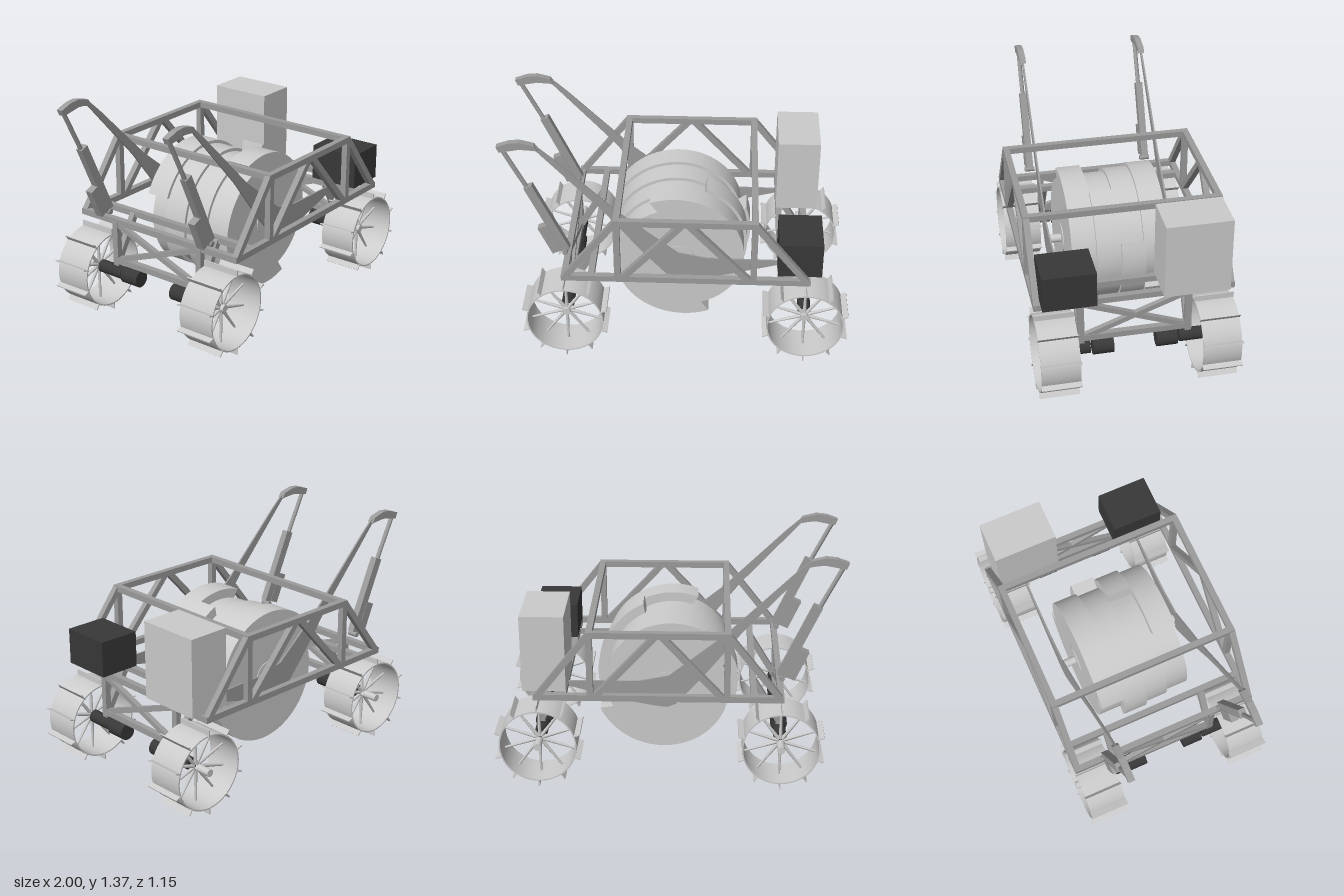
import * as THREE from 'three';
import { toCreasedNormals } from 'three/addons/utils/BufferGeometryUtils.js';

const grey = new THREE.MeshStandardMaterial({ color: 0xcccccc });
const steel = new THREE.MeshStandardMaterial({ color: 0x9c9c9c });
const black = new THREE.MeshStandardMaterial({ color: 0x383838 });
const V = (x, y, z) => new THREE.Vector3(x, y, z);
const UP = V(0, 1, 0);

export function createModel() {
  const model = new THREE.Group();
  model.name = 'excavatorRover';

  const add = (parent, name, geo, mat, x = 0, y = 0, z = 0) => {
    const m = new THREE.Mesh(geo, mat);
    m.name = name;
    m.position.set(x, y, z);
    parent.add(m);
    return m;
  };
  // Lay a y-aligned geometry of the right length between two points
  const span = (parent, name, makeGeo, mat, a, b) => {
    const d = b.clone().sub(a);
    const m = add(parent, name, makeGeo(d.length()), mat);
    m.position.copy(a).add(b).multiplyScalar(0.5);
    m.quaternion.setFromUnitVectors(UP, d.normalize());
    return m;
  };
  const beam = (parent, name, a, b, w = 0.036, t = w) =>
    span(parent, name, l => new THREE.BoxGeometry(w, l, t), steel, a, b);
  const rod = (parent, name, a, b, r0, mat, r1 = r0, n = 24) =>
    span(parent, name, l => new THREE.CylinderGeometry(r1, r0, l, n), mat, a, b);

  // Truss frame: two mirrored sides joined by cross beams
  const frame = new THREE.Group();
  frame.name = 'frame';
  model.add(frame);
  const lo = 0.578, hi = 0.963;
  for (const z of [-0.556, 0.556]) {
    beam(frame, 'lowerRail', V(-0.658, lo, z), V(0.765, lo, z));
    beam(frame, 'upperRail', V(-0.352, hi, z), V(0.458, hi, z));
    for (const x of [-0.334, 0.44]) beam(frame, 'post', V(x, lo, z), V(x, hi, z));
    beam(frame, 'endBrace', V(-0.64, lo, z), V(-0.34, hi, z));
    beam(frame, 'endBrace', V(0.745, lo, z), V(0.445, hi, z));
    beam(frame, 'innerBrace', V(-0.31, lo, z), V(0.04, hi, z));
    beam(frame, 'innerBrace', V(0.415, lo, z), V(0.065, hi, z));
  }
  for (const [x, y] of [[-0.64, lo], [-0.487, lo], [0.597, lo], [0.747, lo], [-0.334, hi], [0.44, hi]])
    beam(frame, 'crossBeam', V(x, y, -0.556), V(x, y, 0.556));

  // Leg frames carrying the wheel motors, with X bracing
  for (const [x, top] of [[-0.645, -0.49], [0.75, 0.6]]) {
    const legs = new THREE.Group();
    legs.name = 'legFrame';
    model.add(legs);
    for (const s of [-1, 1]) {
      beam(legs, 'leg', V(x, 0.3, s * 0.31), V(x, lo, s * 0.31));
      beam(legs, 'legBrace', V(x, 0.32, s * 0.31), V(top, lo, s * 0.31));
      beam(legs, 'crossBrace', V(x, 0.34, -s * 0.29), V(x, 0.56, s * 0.29), 0.03);
    }
    beam(legs, 'lowerBeam', V(x, 0.333, -0.33), V(x, 0.333, 0.33));
  }

  // Wheels: open rim, ten tapered spokes and ten grousers
  const R = 0.225, w = 0.112;
  const rimGeo = toCreasedNormals(new THREE.LatheGeometry(
    [[R - 0.008, -w], [R, -w], [R, w], [R - 0.008, w], [R - 0.008, -w]].map(p => new THREE.Vector2(...p)), 64), 0.5);
  for (const x of [-0.65, 0.75]) for (const s of [-1, 1]) {
    const wheel = new THREE.Group();
    wheel.name = 'wheel';
    wheel.position.set(x, 0.26, s * 0.46);
    model.add(wheel);
    add(wheel, 'rim', rimGeo, grey).rotation.x = Math.PI / 2;
    rod(wheel, 'hub', V(0, 0, -0.12), V(0, 0, 0.03 * s), 0.022, grey);
    for (let i = 0; i < 10; i++) {
      const a = -Math.PI / 2 + i * Math.PI / 5, c = Math.cos(a), q = Math.sin(a);
      rod(wheel, 'spoke', V(c * 0.015, q * 0.015, 0), V(c * 0.22, q * 0.22, 0), 0.011, grey, 0.006, 10);
      beam(wheel, 'grouser', V(c * 0.217, q * 0.217, 0), V(c * 0.259, q * 0.259, 0), 0.007, 0.23).material = grey;
    }
    rod(model, 'motorNeck', V(x, 0.26, s * 0.23), V(x, 0.26, s * 0.46), 0.038, black).scale.y = 0.75;
    rod(model, 'wheelMotor', V(x, 0.26, s * 0.125), V(x, 0.26, s * 0.245), 0.05, black);
  }

  // Bucket drum: four spiral sections, each turned a further 45 degrees
  const drum = new THREE.Group();
  drum.name = 'bucketDrum';
  drum.position.set(0.01, 0.522, 0);
  model.add(drum);
  const pts = [], N = 48;
  for (let k = 0; k < 2; k++) for (let i = 0; i <= N; i++) {
    const f = i / N, a = k * Math.PI + f * Math.PI - (i === 0 ? 0.04 : 0);
    const r = 0.35 + 0.075 * f;
    pts.push(new THREE.Vector2(r * Math.cos(a), r * Math.sin(a)));
  }
  const sectionGeo = toCreasedNormals(
    new THREE.ExtrudeGeometry(new THREE.Shape(pts), { depth: 0.143, bevelEnabled: false }), 0.4);
  for (let i = 0; i < 4; i++)
    add(drum, 'drumSection', sectionGeo, grey, 0, 0, 0.143 - i * 0.143)
      .rotation.z = THREE.MathUtils.degToRad(-66 - 45 * i);
  rod(drum, 'axle', V(0, 0, -0.378), V(0, 0, 0.378), 0.025, grey);
  rod(drum, 'hubFlange', V(0, 0, -0.291), V(0, 0, 0.291), 0.09, grey, 0.09, 40);

  // Side plates that carry the drum, with hooked tips and linear actuators
  const armPts = [[-0.95, 1.345], [-0.87, 1.365], [-0.79, 1.345], [-0.69, 1.255], [-0.32, 0.89], [0, 0.63],
    [0.17, 0.595], [0.6, 0.59], [0.6, 0.565], [0.2, 0.46], [0.06, 0.435], [0.01, 0.43], [-0.04, 0.45],
    [-0.2, 0.63], [-0.42, 0.91], [-0.78, 1.305], [-0.87, 1.322], [-0.95, 1.315]];
  const tipPts = [[-1, 1.335], [-0.93, 1.36], [-0.87, 1.366], [-0.79, 1.346], [-0.77, 1.315],
    [-0.87, 1.322], [-0.985, 1.3]];
  const plate = (p, depth) => new THREE.ExtrudeGeometry(
    new THREE.Shape(p.map(q => new THREE.Vector2(...q))), { depth, bevelEnabled: false }).translate(0, 0, -depth / 2);
  for (const z of [-0.375, 0.375]) {
    const arm = new THREE.Group();
    arm.name = 'drumArm';
    arm.position.z = z;
    model.add(arm);
    add(arm, 'armPlate', plate(armPts, 0.01), steel);
    add(arm, 'armTip', plate(tipPts, 0.038), steel);
    rod(arm, 'actuatorRod', V(-0.975, 1.32, 0), V(-0.83, 1.03, 0), 0.013, steel);
    beam(arm, 'actuatorBarrel', V(-0.84, 1.075, 0), V(-0.645, 0.645, 0), 0.052, 0.042);
    beam(arm, 'actuatorMotor', V(-0.772, 0.805, 0), V(-0.694, 0.63, 0), 0.062, 0.046);
    rod(arm, 'pivotPin', V(-0.65, 0.63, -0.03), V(-0.65, 0.63, 0.03), 0.016, steel);
  }

  // Equipment boxes on the rear deck
  add(model, 'blackBox', new THREE.BoxGeometry(0.25, 0.215, 0.305), black, 0.705, 0.705, 0.382);
  add(model, 'tallBox', new THREE.BoxGeometry(0.25, 0.457, 0.38), grey, 0.705, 0.826, -0.34);

  return model;
}
